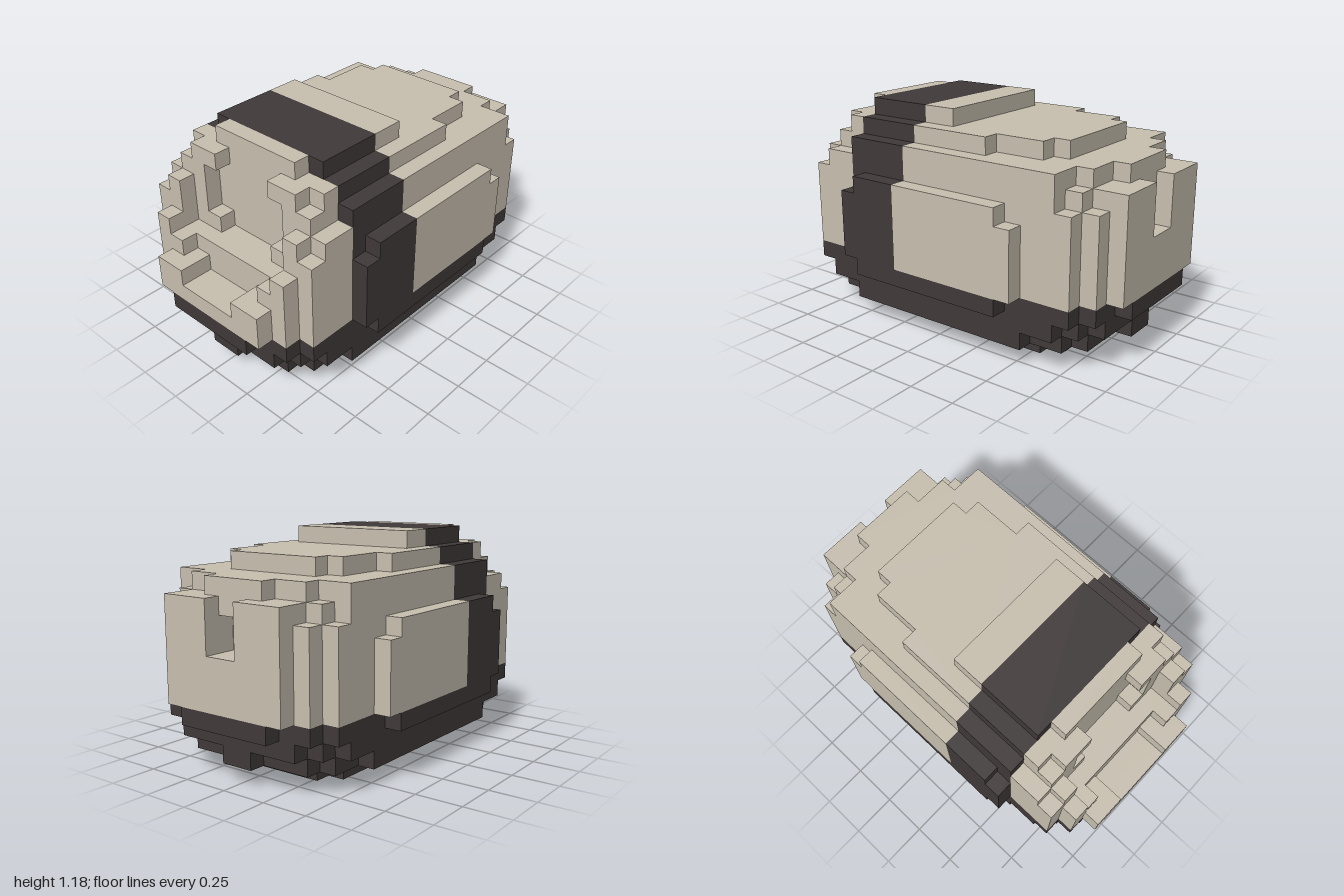
import * as THREE from 'three';

const U = 1 / 11; // size of one block

// Half outline: list of [x end, z] steps from the centre outward; a number means a straight edge.
function stepPoints(steps, width) {
  if (typeof steps === 'number') steps = [[width, steps]];
  const half = [];
  let x = 0;
  for (const [end, z] of steps) {
    half.push([x, z], [end, z]);
    x = end;
  }
  half.shift();
  const mirrored = half.map(([px, z]) => [-px, z]).reverse();
  return [...mirrored, ...half];
}

// Stepped slab between heights y0 and y1, symmetric in x.
function slab(group, name, material, y0, y1, back, front) {
  const widest = Array.isArray(back) ? back : front;
  const width = widest[widest.length - 1][0];
  const outline = [...stepPoints(front, width), ...stepPoints(back, width).reverse()];
  const shape = new THREE.Shape(outline.map(([x, z]) => new THREE.Vector2(x * U, -z * U)));
  const geometry = new THREE.ExtrudeGeometry(shape, { depth: (y1 - y0) * U, bevelEnabled: false });
  geometry.rotateX(-Math.PI / 2);
  const mesh = new THREE.Mesh(geometry, material);
  mesh.name = name;
  mesh.position.y = y0 * U;
  group.add(mesh);
}

const flip = steps => steps.map(([x, z]) => [x, -z]);

function part(parent, name) {
  const group = new THREE.Group();
  group.name = name;
  parent.add(group);
  return group;
}

export function createModel() {
  const beige = new THREE.MeshStandardMaterial({ color: 0xc8c0b0 });
  beige.name = 'beige shell';
  const dark = new THREE.MeshStandardMaterial({ color: 0x403a39 });
  dark.name = 'dark trim';

  const model = new THREE.Group();
  model.name = 'blockPod';

  // Dark base, the same at the front and the back
  const base = part(model, 'base');
  [
    [0, 1, [[3, 7], [4, 6]]],
    [1, 2, [[1, 10], [4, 9], [5, 8], [6, 6]]],
    [2, 3, [[4, 10], [5, 9], [6, 8]]],
    [3, 4, [[3, 11], [5, 10], [6, 9], [7, 5]]],
  ].forEach(([y0, y1, s]) => slab(base, 'baseLayer', dark, y0, y1, flip(s), s));

  // Rear shell with the notch in its back wall
  const rear = part(model, 'rearShell');
  [
    [4, 7, [[4, -11], [5, -10], [6, -9], [7, -6]]],
    [7, 8, [[1, -9], [4, -11], [5, -10], [6, -9], [7, -6]]],
    [8, 9, [[1, -9], [4, -11], [5, -10], [6, -9], [7, -5]]],
    [9, 10, [[1, -10], [4, -11], [5, -9], [6, -8]]],
    [10, 11, [[2, -10], [4, -9], [6, -8]]],
    [11, 12, [[3, -7], [4, -6], [5, -3]]],
    [12, 13, [[4, 0]]],
  ].forEach(([y0, y1, s]) => slab(rear, 'rearLayer', beige, y0, y1, s, 2));

  // Dark hoop over the body
  const hoop = part(model, 'hoop');
  [
    [4, 8, [[7, 6]]],
    [8, 9, [[6, 6], [7, 5]]],
    [9, 11, [[6, 6]]],
    [11, 12, [[5, 6]]],
    [12, 13, [[4, 6]]],
  ].forEach(([y0, y1, s]) => slab(hoop, 'hoopLayer', dark, y0, y1, 2, s));

  // Front shell with the recessed face panel and lower lip
  const front = part(model, 'frontShell');
  [
    [4, 5, [[4, 11], [5, 10], [6, 9]]],
    [5, 6, [[2, 9], [4, 11], [5, 10], [6, 9]]],
    [6, 7, [[3, 9], [5, 10], [6, 9]]],
    [7, 8, [[2, 7], [4, 8], [5, 10], [6, 9]]],
    [8, 9, [[3, 7], [4, 8], [6, 9]]],
    [9, 10, [[3, 7], [4, 8], [5, 9], [6, 8]]],
    [10, 11, [[3, 7], [5, 8]]],
    [11, 12, [[2, 7], [4, 8], [5, 7]]],
    [12, 13, [[3, 7]]],
  ].forEach(([y0, y1, s]) => slab(front, 'frontLayer', beige, y0, y1, 6, s));

  return model;
}
